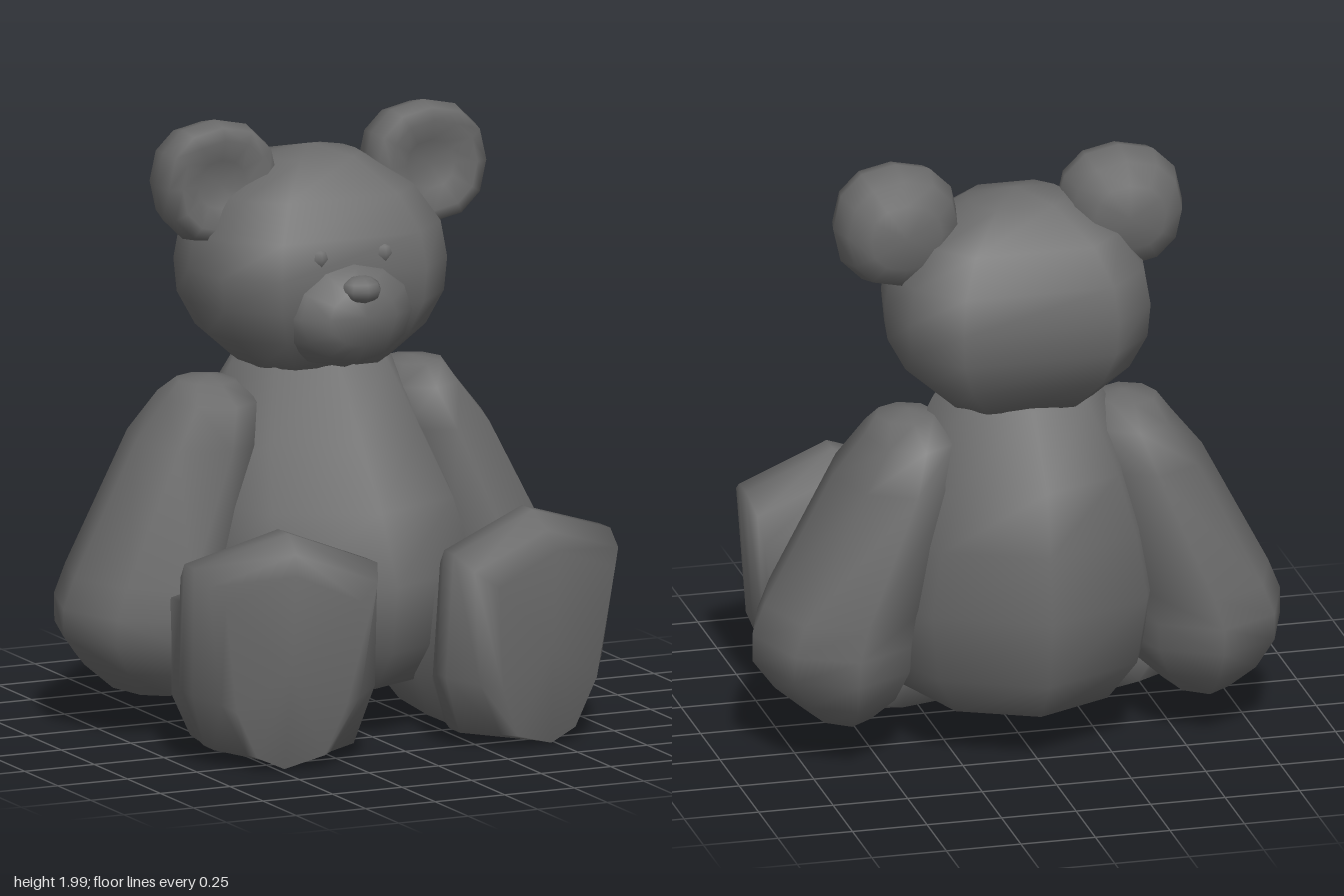
import * as THREE from 'three';
import { mergeVertices } from 'three/addons/utils/BufferGeometryUtils.js';

const darkGrey = new THREE.MeshStandardMaterial({ color: 0x6b6b6b });

// Regular outline; power below 1 makes it boxier
function oval(n, power = 1) {
  const soft = (c) => Math.sign(c) * Math.pow(Math.abs(c), power);
  return Array.from({ length: n }, (_, i) => {
    const a = (i / n) * Math.PI * 2;
    return [soft(Math.cos(a)), soft(Math.sin(a))];
  });
}

// Placement of (u, v, t): rings stacked upwards or forwards
const upward = (u, v, t) => [v, t, u];
const forward = (u, v, t) => [u, v, t];

// Skin over rings of [t, centreU, centreV, radiusU, radiusV]
function loft(rings, outline, place) {
  const n = outline.length, pos = [], index = [];
  for (const [t, cu, cv, ru, rv] of rings)
    for (const [a, b] of outline) pos.push(...place(cu + a * ru, cv + b * rv, t));
  for (let i = 0; i < rings.length - 1; i++)
    for (let j = 0; j < n; j++) {
      const a = i * n + j, b = i * n + (j + 1) % n;
      if (rings[i][3] > 0) index.push(a, b, b + n);
      if (rings[i + 1][3] > 0) index.push(a, b + n, a + n);
    }
  let g = new THREE.BufferGeometry();
  g.setAttribute('position', new THREE.Float32BufferAttribute(pos, 3));
  g.setIndex(index);
  g = mergeVertices(g, 1e-5);
  g.computeVertexNormals();
  return g;
}

// Mirror across x, keeping faces outward
function mirrored(geometry) {
  const g = geometry.clone();
  const p = g.attributes.position, idx = g.index.array;
  for (let i = 0; i < p.count; i++) p.setX(i, -p.getX(i));
  for (let i = 0; i < idx.length; i += 3) [idx[i], idx[i + 1]] = [idx[i + 1], idx[i]];
  g.computeVertexNormals();
  return g;
}

export function createModel() {
  const model = new THREE.Group();
  model.name = 'teddyBear';

  const add = (name, geometry) => {
    const mesh = new THREE.Mesh(geometry, darkGrey);
    mesh.name = name;
    model.add(mesh);
    return mesh;
  };
  const pair = (name, geometry, shift = 0) => {
    add('left' + name, geometry);
    add('right' + name, mirrored(geometry)).position.x = shift;
  };
  const ball = (name, x, y, z, rx, ry, rz) => {
    const mesh = add(name, new THREE.SphereGeometry(1, 8, 6));
    mesh.position.set(x, y, z);
    mesh.scale.set(rx, ry, rz);
  };

  // Body: pear shape, belly pushed forward
  add('body', loft([
    [0.09, -0.2, 0, 0, 0],
    [0.17, -0.14, 0, 0.41, 0.36],
    [0.31, -0.13, 0, 0.53, 0.47],
    [0.54, -0.13, 0, 0.57, 0.51],
    [0.76, -0.175, 0, 0.495, 0.46],
    [0.97, -0.235, 0, 0.395, 0.38],
    [1.19, -0.225, 0, 0.225, 0.28],
    [1.26, -0.22, 0, 0, 0],
  ], oval(8), upward));

  // Head: wide ball, flattened at front, back and underside
  const headOutline = [[1, 0.59], [0.55, 0.92], [0, 1], [-0.55, 0.92], [-1, 0.59],
    [-1, -0.59], [-0.55, -0.92], [0, -1], [0.55, -0.92], [1, -0.59]];
  add('head', loft([
    [1.17, -0.22, 0, 0, 0],
    [1.185, -0.22, 0, 0.2, 0.25],
    [1.29, -0.22, 0, 0.285, 0.37],
    [1.4, -0.22, 0, 0.325, 0.43],
    [1.51, -0.22, 0, 0.335, 0.44],
    [1.63, -0.22, 0, 0.315, 0.42],
    [1.75, -0.22, 0, 0.25, 0.335],
    [1.86, -0.22, 0, 0.125, 0.16],
    [1.89, -0.22, 0, 0, 0],
  ], headOutline, upward));

  // Face: blunt muzzle, nose and eyes
  add('muzzle', loft([
    [-0.1, 0, 1.375, 0.24, 0.19],
    [0.04, 0, 1.385, 0.235, 0.19],
    [0.13, 0, 1.385, 0.2, 0.155],
    [0.185, 0, 1.385, 0.12, 0.095],
    [0.21, 0, 1.39, 0, 0],
  ], oval(12), forward));
  ball('nose', 0, 1.475, 0.165, 0.07, 0.047, 0.06);
  ball('leftEye', 0.115, 1.572, 0.065, 0.05, 0.048, 0.05);
  ball('rightEye', -0.115, 1.572, 0.065, 0.05, 0.048, 0.05);

  // Ears: flattened back, shallow cup in front
  const earX = 0.4, earY = 1.795;
  pair('Ear', loft([
    [-0.365, earX, earY, 0, 0],
    [-0.355, earX, earY, 0.12, 0.11],
    [-0.31, earX, earY, 0.185, 0.18],
    [-0.21, earX, earY, 0.21, 0.205],
    [-0.14, earX, earY, 0.195, 0.19],
    [-0.122, earX, earY, 0.155, 0.15],
    [-0.15, earX, earY, 0.085, 0.08],
    [-0.16, earX, earY, 0, 0],
  ], oval(12, 0.88), forward), 0.05);

  // Arms: hang outwards, thickest near the paw
  pair('Arm', loft([
    [0.12, -0.22, 0.59, 0, 0],
    [0.145, -0.22, 0.6, 0.2, 0.11],
    [0.23, -0.225, 0.605, 0.295, 0.205],
    [0.33, -0.225, 0.612, 0.335, 0.273],
    [0.42, -0.225, 0.61, 0.343, 0.275],
    [0.52, -0.225, 0.582, 0.33, 0.263],
    [0.95, -0.235, 0.405, 0.28, 0.215],
    [1.08, -0.235, 0.36, 0.215, 0.155],
    [1.14, -0.225, 0.37, 0.11, 0.1],
    [1.155, -0.22, 0.36, 0, 0],
  ], oval(8), upward));

  // Legs: point forwards; the tilted sole narrows towards the heel
  const footOutline = [[1, 0.74], [0, 1], [-0.97, 0.7], [-1, -0.38],
    [-0.8, -0.88], [0.1, -1], [0.7, -0.87], [0.96, -0.38]];
  const splay = (x, y, t) => {
    const k = THREE.MathUtils.clamp(t / 0.3, 0, 1);
    const narrow = t > 0.55 ? Math.max(0, 0.4 - y) : 0;
    const px = 0.46 + (x - 0.46) * (1 - narrow);
    return [px, y, t + k * (0.1 * (y - 0.4) - 0.17 * (px - 0.44))];
  };
  pair('Leg', loft([
    [-0.16, 0.33, 0.22, 0, 0],
    [-0.12, 0.34, 0.2, 0.14, 0.12],
    [0, 0.39, 0.28, 0.22, 0.24],
    [0.2, 0.43, 0.305, 0.26, 0.29],
    [0.32, 0.44, 0.31, 0.27, 0.295],
    [0.35, 0.44, 0.36, 0.285, 0.345],
    [0.42, 0.438, 0.392, 0.307, 0.385],
    [0.5, 0.438, 0.392, 0.31, 0.385],
    [0.59, 0.45, 0.365, 0.285, 0.358],
    [0.64, 0.47, 0.335, 0.23, 0.325],
    [0.64, 0.47, 0.335, 0, 0],
  ], footOutline, splay));

  return model;
}
